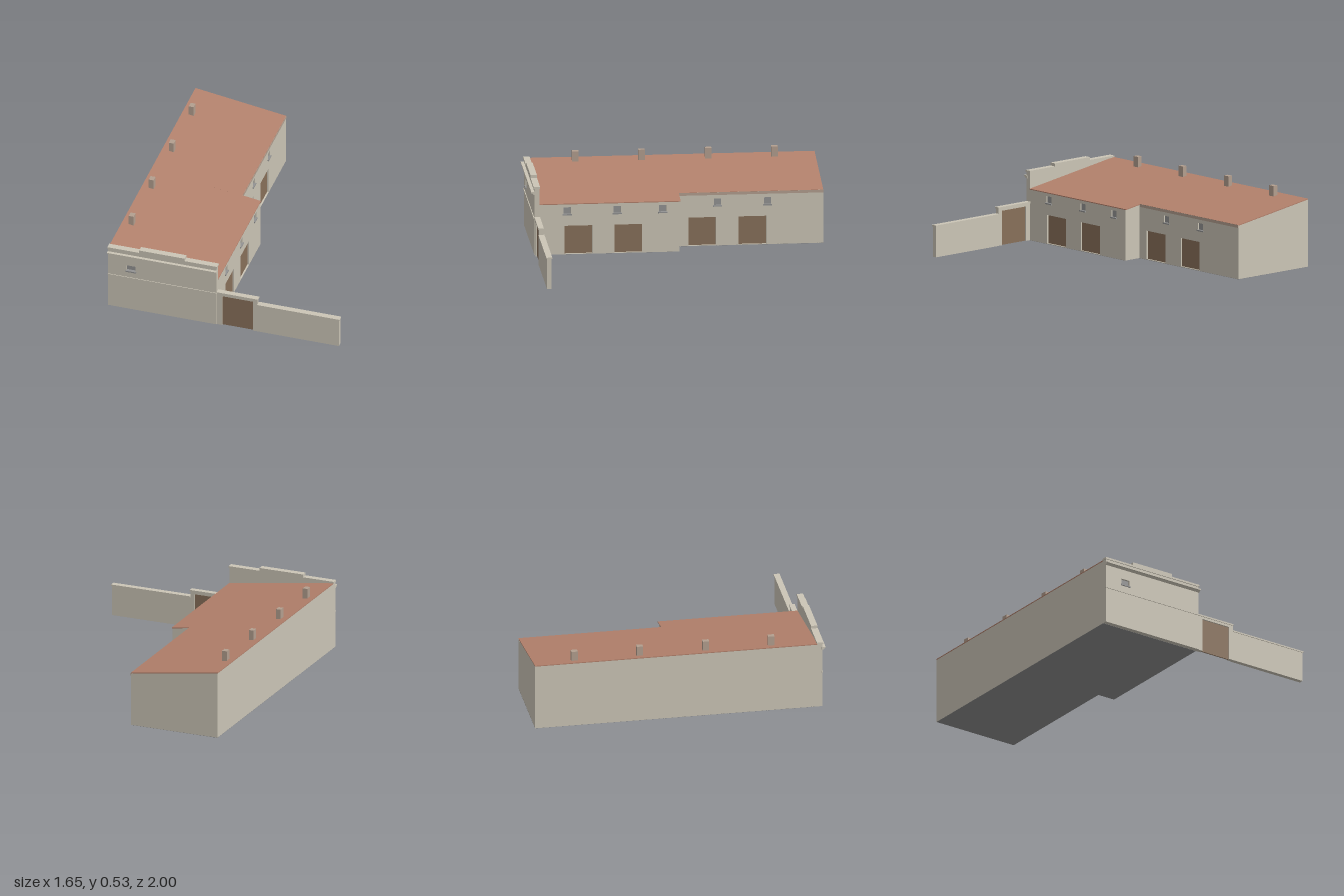
import * as THREE from 'three';

const mat = (name, color) => {
  const m = new THREE.MeshStandardMaterial({ color });
  m.name = name;
  return m;
};

export function createModel() {
  const root = new THREE.Group();
  root.name = 'farmBuilding';
  const plaster = mat('plaster', 0xcbc5b6);
  const tile = mat('roofTile', 0xb3816c);
  const wood = mat('wood', 0x88705a);
  const glass = mat('windowGrey', 0x939393);
  const brick = mat('chimneyBrick', 0xb39f8f);
  const floorGrey = mat('floorGrey', 0x8c8c8c);

  const add = (name, geo, material, parent = root) => {
    const m = new THREE.Mesh(geo, material);
    m.name = name;
    parent.add(m);
    return m;
  };
  // Box given by its minimum and maximum corners
  const box = (name, material, x0, x1, y0, y1, z0, z1, parent) => {
    const g = new THREE.BoxGeometry(x1 - x0, y1 - y0, z1 - z0);
    g.translate((x0 + x1) / 2, (y0 + y1) / 2, (z0 + z1) / 2);
    return add(name, g, material, parent);
  };
  const poly = (pts) => new THREE.Shape(pts.map(([x, y]) => new THREE.Vector2(x, y)));
  const rect = (a, b, c, d) => [[a, c], [b, c], [b, d], [a, d]];
  const extrude = (pts, holes, depth) => {
    const s = poly(pts);
    holes.forEach((h) => s.holes.push(new THREE.Path(poly(h).getPoints())));
    return new THREE.ExtrudeGeometry(s, { depth, bevelEnabled: false });
  };

  const LEFT = -0.82, WIDE = -0.05, NARROW = -0.18, STEP = -0.01, FRONT = 0.945;
  const REVEAL = 0.015, THICK = 0.006;
  const roofY = (x) => 0.47 - 0.148 * (x - LEFT);

  // Two wings under one lean-to roof, with doors and windows on the low side
  const wings = [
    { name: 'frontWing', x: WIDE, z0: STEP, z1: FRONT, doors: [0.678, 0.34], windows: [0.755, 0.415, 0.105] },
    { name: 'backWing', x: NARROW, z0: -1, z1: STEP, doors: [-0.175, -0.518], windows: [-0.28, -0.62] },
  ];
  for (const w of wings) {
    const g = new THREE.Group();
    g.name = w.name;
    root.add(g);
    const inner = w.x - REVEAL;
    const core = extrude([[LEFT, 0], [inner, 0], [inner, roofY(inner) - THICK], [LEFT, roofY(LEFT) - THICK]], [], w.z1 - w.z0);
    add('wingBody', core.translate(0, 0, w.z0), plaster, g);

    // Side wall is drawn in the z-y plane, then turned to face +x
    const holes = [
      ...w.doors.map((z) => rect(-z - 0.094, -z + 0.094, 0.004, 0.2)),
      ...w.windows.map((z) => rect(-z - 0.025, -z + 0.025, 0.282, 0.33)),
    ];
    const side = extrude(rect(-w.z1, -w.z0, 0, roofY(w.x) - THICK), holes, REVEAL);
    add('sideWall', side.rotateY(Math.PI / 2).translate(inner, 0, 0), plaster, g);

    for (const z of w.doors) box('sideDoor', wood, inner, inner + 0.004, 0.004, 0.2, z - 0.094, z + 0.094, g);
    for (const z of w.windows) {
      box('sideWindow', glass, inner, inner + 0.005, 0.282, 0.33, z - 0.025, z + 0.025, g);
      box('sideWindowSill', glass, inner, w.x + 0.007, 0.274, 0.283, z - 0.031, z + 0.031, g);
    }

    // Sloping roof sheet
    const zEnd = w.z0 === STEP ? STEP - 0.007 : w.z0;
    const roof = extrude([
      [LEFT - 0.002, roofY(LEFT) - THICK], [w.x + 0.002, roofY(w.x) - THICK],
      [w.x + 0.002, roofY(w.x)], [LEFT - 0.002, roofY(LEFT)],
    ], [], w.z1 - zEnd);
    add('roof', roof.translate(0, 0, zEnd), tile, g);
    // Floor underside
    box('floor', floorGrey, LEFT, w.x, 0, 0.002, w.z0, w.z1, g).position.y = -0.001;
  }
  box('eavesBoard', brick, NARROW, NARROW + 0.003, 0.355, 0.374, -1, STEP - 0.007);

  // Chimneys along the high side
  for (const z of [-0.72, -0.27, 0.185, 0.635]) {
    box('chimney', brick, -0.775, -0.74, 0.44, 0.53, z - 0.022, z + 0.022);
  }

  // Front facade with stepped parapet
  const facade = new THREE.Group();
  facade.name = 'facade';
  root.add(facade);
  const facadeGeo = extrude(rect(LEFT, WIDE, 0, 0.468), [rect(-0.69, -0.626, 0.313, 0.355)], 0.033);
  add('facadeWall', facadeGeo.translate(0, 0, FRONT), plaster, facade);
  box('parapetCap', plaster, LEFT - 0.004, WIDE + 0.004, 0.466, 0.48, 0.94, 0.984, facade);
  box('raisedParapet', plaster, -0.598, -0.275, 0.48, 0.5, 0.94, 0.984, facade);
  box('facadeWindow', glass, -0.69, -0.626, 0.313, 0.355, 0.955, 0.963, facade);
  box('facadeWindowSill', glass, -0.696, -0.62, 0.305, 0.314, 0.955, 0.986, facade);
  box('stringCourse', plaster, LEFT - 0.003, WIDE + 0.002, 0.253, 0.26, 0.97, 0.983, facade);
  // Cornice profile drawn in z-y, swept along x
  const cornice = extrude([[-0.97, 0.424], [-0.984, 0.424], [-0.992, 0.433], [-1, 0.435], [-1, 0.444], [-0.97, 0.444]], [], WIDE - LEFT + 0.006);
  add('cornice', cornice.rotateY(Math.PI / 2).translate(LEFT - 0.003, 0, 0), plaster, facade);

  // Gate and yard wall beside the facade
  const yard = new THREE.Group();
  yard.name = 'yardWall';
  root.add(yard);
  const gateWall = extrude(
    [[WIDE, 0], [-0.013, 0], [-0.013, 0.238], [0.208, 0.238], [0.208, 0], [0.238, 0], [0.238, 0.256], [WIDE, 0.256]], [], 0.028);
  add('gateWall', gateWall.translate(0, 0, 0.945), plaster, yard);
  box('gateCap', plaster, WIDE, 0.242, 0.255, 0.266, 0.94, 0.978, yard);
  box('gate', wood, -0.013, 0.208, 0, 0.238, 0.954, 0.963, yard);
  box('lowWall', plaster, 0.238, 0.818, 0, 0.212, 0.942, 0.973, yard);
  box('lowWallCap', plaster, 0.238, 0.823, 0.211, 0.221, 0.937, 0.978, yard);

  return root;
}
